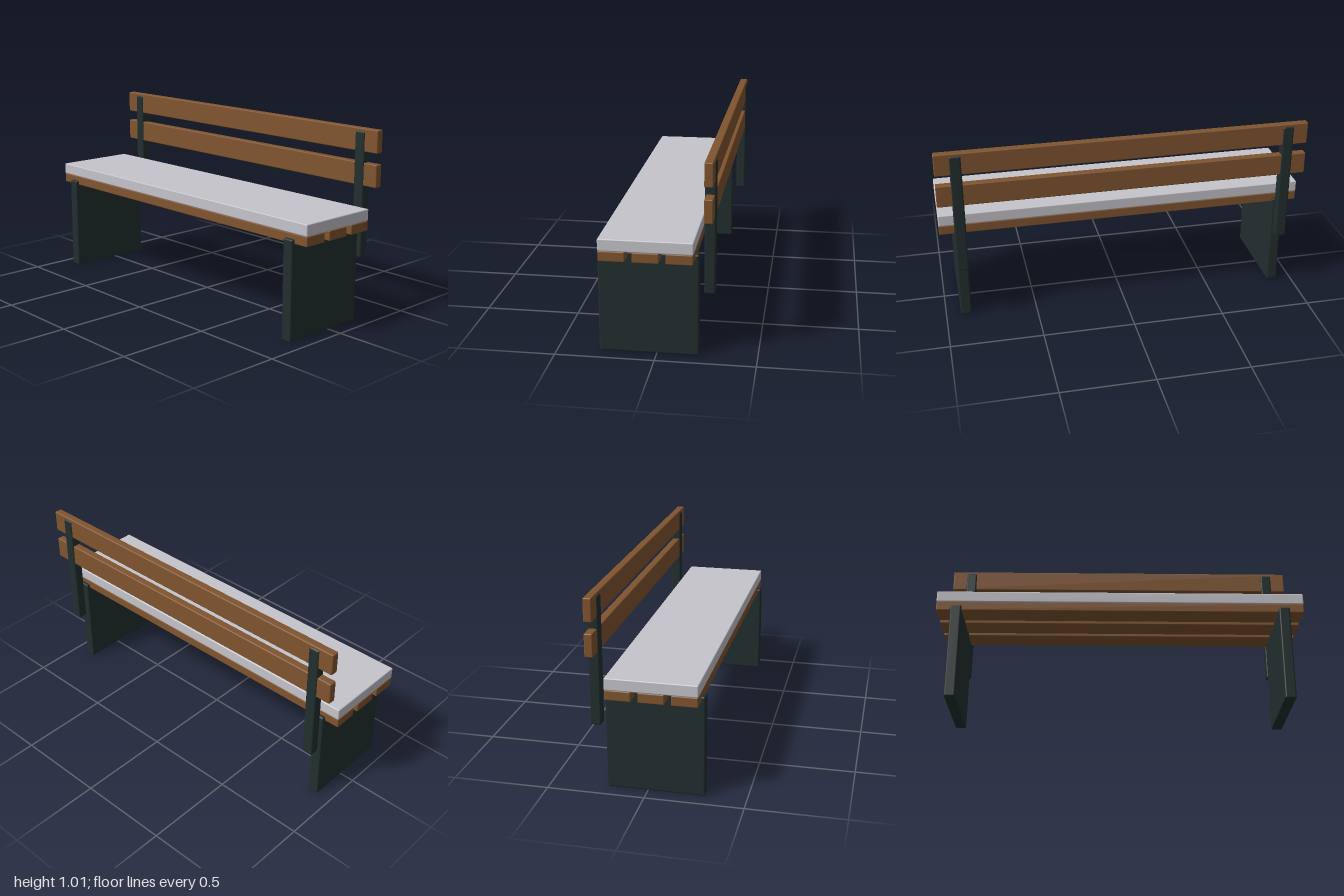
import * as THREE from 'three';
import { RoundedBoxGeometry } from 'three/addons/geometries/RoundedBoxGeometry.js';

const material = (name, color) => {
  const m = new THREE.MeshStandardMaterial({ color });
  m.name = name;
  return m;
};

export function createModel() {
  const wood = material('brown wood', 0x80542f);
  const metal = material('dark metal', 0x222e2e);
  const fabric = material('light grey fabric', 0xc4c4cb);

  const bench = new THREE.Group();
  bench.name = 'bench';

  // Softly bevelled box given by its centre x, width, and y and z ranges
  const block = (name, mat, x, width, [y0, y1], [z0, z1], bevel) => {
    const mesh = new THREE.Mesh(new RoundedBoxGeometry(width, y1 - y0, z1 - z0, 2, bevel), mat);
    mesh.position.set(x, (y0 + y1) / 2, (z0 + z1) / 2);
    mesh.name = name;
    bench.add(mesh);
  };

  // Slab legs and the upright posts behind them
  for (const [side, x] of [['left', 0.89], ['right', -0.89]]) {
    block(side + 'Leg', metal, x, 0.06, [0.003, 0.533], [-0.21, 0.29], 0.009);
    block(side + 'BackPost', metal, x, 0.06, [0.335, 1.003], [-0.289, -0.234], 0.009);
  }

  // Three seat slats
  [0.205, 0.04, -0.125].forEach((z, i) =>
    block('seatSlat' + (i + 1), wood, 0, 2, [0.508, 0.561], [z - 0.066, z + 0.066], 0.006));

  // Two backrest slats
  [0.78, 0.957].forEach((y, i) =>
    block('backSlat' + (i + 1), wood, 0, 2, [y - 0.06, y + 0.06], [-0.283, -0.24], 0.006));

  // Seat cushion
  block('cushion', fabric, 0, 2, [0.56, 0.622], [-0.192, 0.272], 0.006);

  return bench;
}
